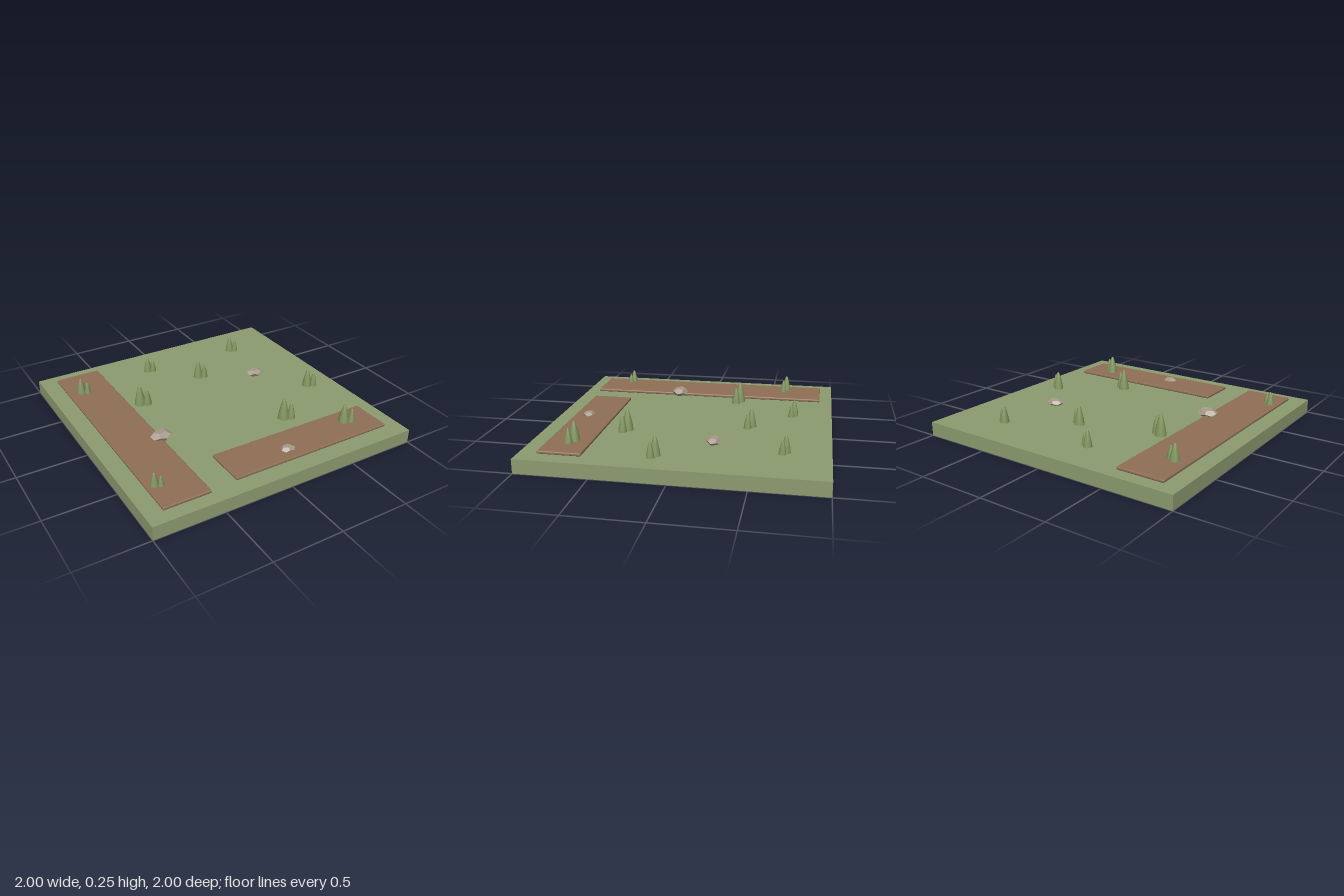
import * as THREE from 'three';
import { RoundedBoxGeometry } from 'three/addons/geometries/RoundedBoxGeometry.js';

const mat = (name, color, flatShading = false) => {
  const m = new THREE.MeshStandardMaterial({ color, flatShading });
  m.name = name;
  return m;
};

export function createModel() {
  const model = new THREE.Group();
  const grass = mat('grass green', 0x8c9b70);
  const soil = mat('soil brown', 0x8f6f56);
  const leaf = mat('tuft green', 0x82975f);
  const stone = mat('stone grey', 0xa89a8a, true);

  const add = (parent, name, geometry, material, x, y, z) => {
    const mesh = new THREE.Mesh(geometry, material);
    mesh.name = name;
    mesh.position.set(x, y, z);
    parent.add(mesh);
    return mesh;
  };

  // Ground slab
  add(model, 'ground', new THREE.BoxGeometry(2, 0.1, 2), grass, 0, 0.05, 0);

  // Raised soil beds: x range, z range
  for (const [x0, x1, z0, z1] of [[-0.88, -0.543, -0.907, 0.903], [-0.35, 0.886, 0.58, 0.876]]) {
    add(model, 'soilBed', new RoundedBoxGeometry(x1 - x0, 0.022, z1 - z0, 2, 0.008), soil,
      (x0 + x1) / 2, 0.11, (z0 + z1) / 2);
  }

  // Grass tufts: one tall blade clump and a smaller one beside it
  const blade = new THREE.LatheGeometry(
    [[1, 0], [0.84, 0.3], [0.55, 0.65], [0.26, 0.93], [0.13, 0.985], [0, 1]]
      .map(([r, y]) => new THREE.Vector2(r, y)), 10);
  const tufts = [ // x, z, scale
    [-0.785, -0.632, 0.88], [-0.183, -0.722, 0.76], [0.577, -0.702, 0.78],
    [0.117, -0.432, 0.88], [-0.462, -0.282, 1], [0.777, 0.118, 0.88],
    [0.338, 0.418, 1], [0.657, 0.698, 1], [-0.823, 0.678, 0.75],
  ];
  for (const [x, z, s] of tufts) {
    const tuft = new THREE.Group();
    tuft.name = 'grassTuft';
    tuft.position.set(x, 0.1, z);
    add(tuft, 'tallBlade', blade, leaf, 0, 0, 0).scale.set(0.042 * s, 0.155 * s, 0.042 * s);
    add(tuft, 'shortBlade', blade, leaf, 0.048 * s, 0, 0.025 * s)
      .scale.set(0.032 * s, 0.122 * s, 0.032 * s);
    model.add(tuft);
  }

  // Low faceted rocks: x, z, half sizes, turn
  const rock = new THREE.DodecahedronGeometry(1, 0);
  const rocks = [
    [-0.542, 0.218, 0.08, 0.034, 0.063, 0.2],
    [0.517, -0.222, 0.068, 0.028, 0.052, 0.1],
    [0.117, 0.775, 0.055, 0.023, 0.043, 0.5],
  ];
  for (const [x, z, rx, ry, rz, turn] of rocks) {
    const g = rock.clone().rotateX(0.35).rotateY(turn).scale(rx, ry, rz);
    add(model, 'rock', g, stone, x, 0.1 + ry, z);
  }
  return model;
}
